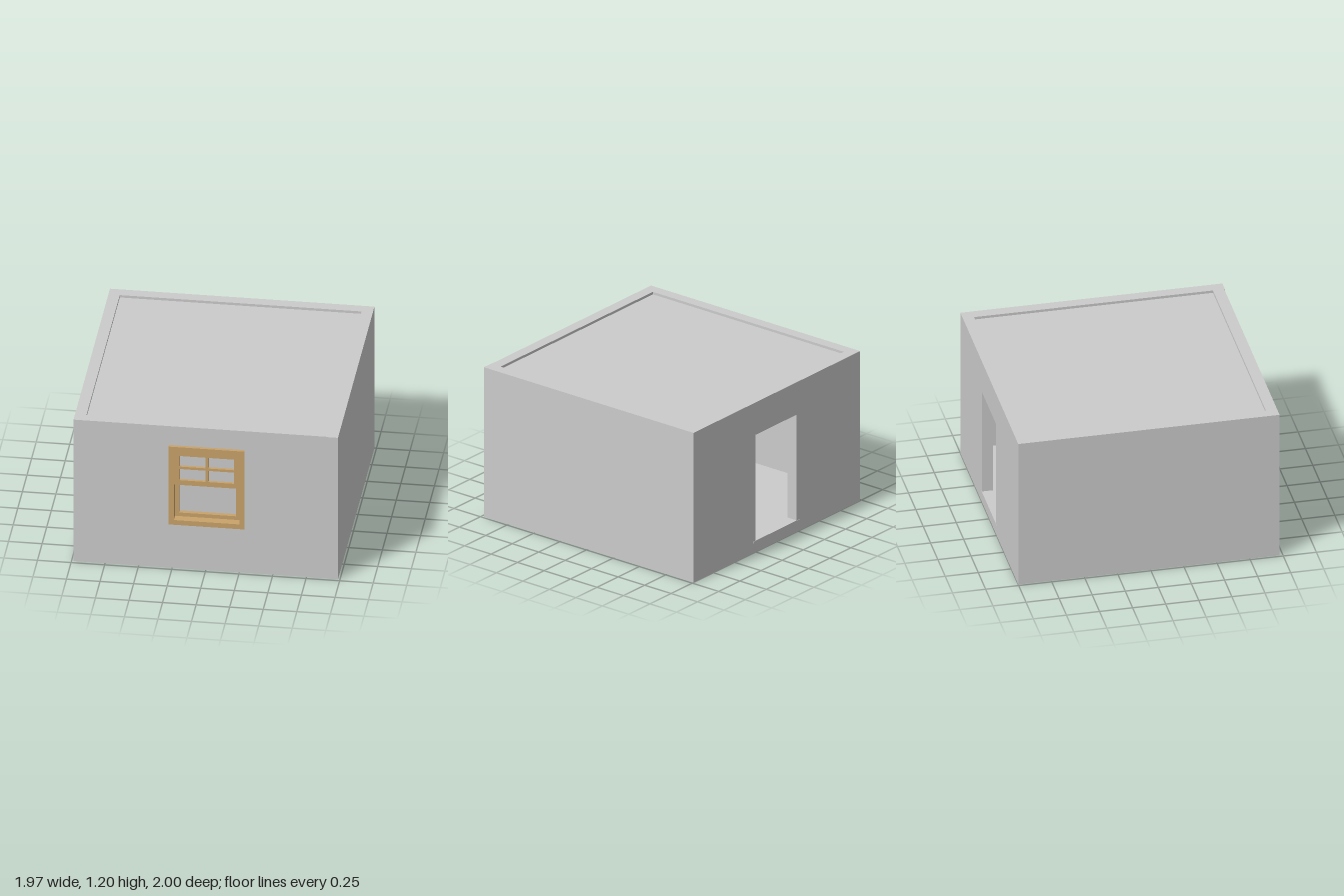
import * as THREE from 'three';

const grey = new THREE.MeshStandardMaterial({ color: 0xcccccc });
const wood = new THREE.MeshStandardMaterial({ color: 0xc8a26a });
const orange = new THREE.MeshStandardMaterial({ color: 0xe08a1e });

function add(parent, name, geometry, material = grey) {
  const mesh = new THREE.Mesh(geometry, material);
  mesh.name = name;
  parent.add(mesh);
  return mesh;
}

// Box given by its limits on each axis
function box(parent, name, [x0, x1], [y0, y1], [z0, z1], material) {
  const mesh = add(parent, name, new THREE.BoxGeometry(x1 - x0, y1 - y0, z1 - z0), material);
  mesh.position.set((x0 + x1) / 2, (y0 + y1) / 2, (z0 + z1) / 2);
  return mesh;
}

function trace(path, [x0, x1, y0, y1]) {
  path.moveTo(x0, y0);
  path.lineTo(x1, y0);
  path.lineTo(x1, y1);
  path.lineTo(x0, y1);
  path.closePath();
  return path;
}

// Upright panel with rectangular openings, running from z0 to z1
function panel(parent, name, outline, openings, z0, z1, material) {
  const shape = trace(new THREE.Shape(), outline);
  shape.holes = openings.map((o) => trace(new THREE.Path(), o));
  const geometry = new THREE.ExtrudeGeometry(shape, { depth: z1 - z0, bevelEnabled: false });
  geometry.translate(0, 0, z0);
  return add(parent, name, geometry, material);
}

function createWindow() {
  const group = new THREE.Group();
  group.name = 'window';
  panel(group, 'windowFrame', [-0.275, 0.29, 0.38, 1.04], [[-0.235, 0.255, 0.42, 1.0]], 0.885, 1.0, wood);
  // Upper sash with four panes, in front of the lower sash
  const panes = [];
  for (const [x0, x1] of [[-0.195, 0], [0.02, 0.21]]) {
    for (const [y0, y1] of [[0.75, 0.845], [0.865, 0.955]]) panes.push([x0, x1, y0, y1]);
  }
  panel(group, 'upperSash', [-0.235, 0.255, 0.71, 1.0], panes, 0.94, 0.98, wood);
  panel(group, 'lowerSash', [-0.235, 0.255, 0.42, 0.73], [[-0.205, 0.22, 0.45, 0.685]], 0.89, 0.935, wood);
  box(group, 'upperGlass', [-0.23, 0.25], [0.73, 0.99], [0.95, 0.958]);
  box(group, 'lowerGlass', [-0.22, 0.24], [0.43, 0.7], [0.895, 0.902]);
  return group;
}

// Round pedestal table with two cups
function createTable() {
  const group = new THREE.Group();
  group.name = 'table';
  add(group, 'tableTop', new THREE.CylinderGeometry(0.24, 0.24, 0.015, 40), wood).position.y = 0.207;
  add(group, 'tableStem', new THREE.CylinderGeometry(0.02, 0.02, 0.19, 16), wood).position.y = 0.105;
  add(group, 'tableFoot', new THREE.CylinderGeometry(0.1, 0.11, 0.012, 32), wood).position.y = 0.006;
  const cupProfile = [[0, 0], [0.02, 0], [0.026, 0.05], [0.022, 0.05], [0.017, 0.006], [0, 0.006]]
    .map(([r, y]) => new THREE.Vector2(r, y));
  for (const [x, z] of [[0.06, -0.03], [0.03, 0.08]]) {
    add(group, 'cup', new THREE.LatheGeometry(cupProfile, 20)).position.set(x, 0.2145, z);
  }
  return group;
}

// Low stool: gently dished seat on four slim legs
function createStool() {
  const group = new THREE.Group();
  group.name = 'stool';
  const seat = new THREE.BoxGeometry(0.19, 0.02, 0.19, 10, 1, 10);
  const p = seat.attributes.position;
  for (let i = 0; i < p.count; i++) {
    p.setY(i, p.getY(i) + 0.11 + 0.015 * (1 - (p.getX(i) / 0.095) ** 2));
  }
  seat.computeVertexNormals();
  add(group, 'seat', seat, orange);
  for (const x of [-0.075, 0.075]) {
    for (const z of [-0.075, 0.075]) {
      box(group, 'stoolLeg', [x - 0.006, x + 0.006], [0, 0.108], [z - 0.006, z + 0.006]);
    }
  }
  return group;
}

export function createModel() {
  const model = new THREE.Group();
  model.name = 'room';

  // Walls: the back spans the full width, the left one runs past the front
  panel(model, 'frontWall', [-0.985, 0.9, 0, 1.2], [[-0.275, 0.29, 0.38, 1.04]], 0.89, 0.975);
  panel(model, 'backWall', [-0.985, 0.985, 0, 1.2], [[-0.235, 0.25, 0.085, 0.94]], -1, -0.915);
  box(model, 'leftWall', [0.9, 0.985], [0, 1.2], [-0.915, 0.98]);
  box(model, 'rightWall', [-0.985, -0.9], [0, 1.2], [-0.915, 0.89]);

  // Floor and roof slabs sit just inside the wall edges
  box(model, 'floor', [-0.9, 0.9], [0.01, 0.085], [-0.915, 0.89]);
  box(model, 'roof', [-0.9, 0.9], [1.12, 1.18], [-0.915, 0.89]);
  box(model, 'doorThreshold', [-0.265, 0.28], [0.08, 0.092], [-1.002, -0.9]);

  model.add(createWindow());

  // Dining set on a bordered rug
  const diningSet = new THREE.Group();
  diningSet.name = 'diningSet';
  diningSet.position.set(0.15, 0.085, -0.37);
  model.add(diningSet);
  for (const size of [0.56, 0.46]) {
    const h = size / 2 + 0.08;
    const border = panel(diningSet, 'rugBorder', [-h, h, -h, h], [[0.03 - h, h - 0.03, 0.03 - h, h - 0.03]], 0, 0.005);
    border.rotation.x = -Math.PI / 2;
    border.position.z = 0.1;
  }
  diningSet.add(createTable());
  for (let i = 0; i < 4; i++) {
    const arm = new THREE.Group();
    arm.name = 'stoolPlace';
    arm.rotation.y = (i * Math.PI) / 2;
    const stool = createStool();
    stool.position.z = -0.34;
    arm.add(stool);
    diningSet.add(arm);
  }
  return model;
}
